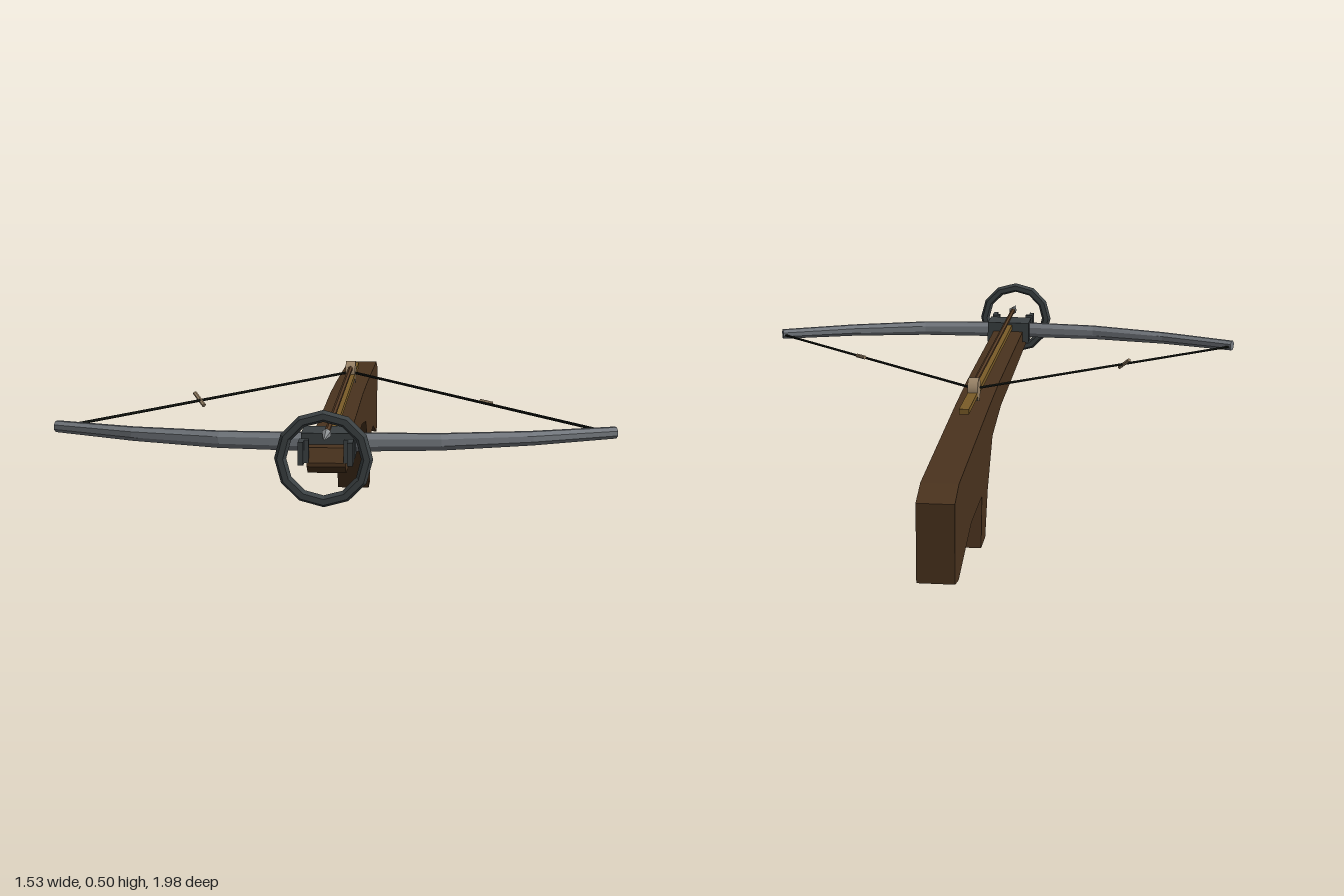
import * as THREE from 'three';

const mat = (name, color) => {
  const m = new THREE.MeshStandardMaterial({ color });
  m.name = name;
  return m;
};

// Faceted normals for low-poly parts
function facet(geo) {
  const g = geo.index ? geo.toNonIndexed() : geo;
  g.computeVertexNormals();
  return g;
}

// Sweeps an elliptical polygon along stations { p, side, up }; side x up points along the path
function sweep(stations, sides) {
  const pos = [], index = [], n = stations.length;
  for (const { p, side, up } of stations) {
    for (let j = 0; j < sides; j++) {
      const a = ((j + 0.5) / sides) * Math.PI * 2;
      const v = p.clone().addScaledVector(side, Math.cos(a)).addScaledVector(up, Math.sin(a));
      pos.push(v.x, v.y, v.z);
    }
  }
  for (let i = 0; i < n - 1; i++) {
    for (let j = 0; j < sides; j++) {
      const k = (j + 1) % sides, a = i * sides, b = a + sides;
      index.push(a + j, b + k, b + j, a + j, a + k, b + k);
    }
  }
  const last = (n - 1) * sides;
  for (let j = 1; j < sides - 1; j++) {
    index.push(0, j + 1, j, last, last + j, last + j + 1);
  }
  const g = new THREE.BufferGeometry();
  g.setAttribute('position', new THREE.Float32BufferAttribute(pos, 3));
  g.setIndex(index);
  return facet(g);
}

export function createModel() {
  const model = new THREE.Group();
  const wood = mat('stock wood', 0x4a331e);
  const boltWood = mat('bolt wood', 0x543a24);
  const steel = mat('prod steel', 0x757a80);
  const paleSteel = mat('bolt head steel', 0x8a8e90);
  const iron = mat('dark iron', 0x3b4143);
  const brass = mat('brass rail', 0x7a5c28);
  const bone = mat('nut bone', 0x9a8468);
  const cord = mat('string cord', 0x151813);

  const add = (name, geo, material, x = 0, y = 0, z = 0) => {
    const m = new THREE.Mesh(geo, material);
    m.name = name;
    m.position.set(x, y, z);
    model.add(m);
    return m;
  };
  const box = (w, h, d) => new THREE.BoxGeometry(w, h, d);
  const V = (x, y, z) => new THREE.Vector3(x, y, z);
  // Rod or cone from a to b
  const rod = (name, a, b, ra, rb, sides, material) => {
    const d = b.clone().sub(a);
    const c = a.clone().add(b).multiplyScalar(0.5);
    const m = add(name, facet(new THREE.CylinderGeometry(rb, ra, d.length(), sides)), material, c.x, c.y, c.z);
    m.quaternion.setFromUnitVectors(V(0, 1, 0), d.normalize());
  };

  // Stock: side profile (z, y) extruded across x
  const profile = [
    [0.88, 0.345], [0.855, 0.38], [0, 0.375], [-0.26, 0.365], [-0.92, 0.33], [-1, 0.3],
    [-1, 0.087], [-0.935, 0.076], [-0.67, 0.147], [-0.44, 0.147], [-0.46, 0], [-0.36, 0],
    [-0.3, 0.125], [-0.18, 0.255], [0.045, 0.29], [0.85, 0.313], [0.88, 0.335],
  ];
  const stockGeo = new THREE.ExtrudeGeometry(
    new THREE.Shape(profile.map(([z, y]) => new THREE.Vector2(z, y))),
    { depth: 0.1, bevelEnabled: false });
  stockGeo.translate(0, 0, -0.05).rotateY(-Math.PI / 2);
  add('stock', stockGeo, wood);

  // Prod: curved steel bow, its height tapering to the tips
  const half = [[0.29, 0.745, 0.024], [0.53, 0.682, 0.02], [0.758, 0.59, 0.0165]];
  const path = [
    ...half.map(([x, z, h]) => [-x, z, h]).reverse(),
    [0, 0.765, 0.027],
    ...half,
  ];
  const stations = path.map(([x, z, h], i) => {
    const a = path[Math.max(i - 1, 0)], b = path[Math.min(i + 1, path.length - 1)];
    const t = V(b[0] - a[0], 0, b[1] - a[1]).normalize();
    return { p: V(x, 0.377, z), side: V(t.z, 0, -t.x).multiplyScalar(0.0165), up: V(0, h, 0) };
  });
  add('prod', sweep(stations, 8), steel);

  // Iron block binding the prod to the stock
  add('prodBlock', box(0.14, 0.066, 0.1), iron, 0, 0.376, 0.762);

  // Brackets on the nose, and the foot stirrup
  for (const s of [-1, 1]) {
    add('bracketFoot', box(0.02, 0.06, 0.018), iron, s * 0.055, 0.375, 0.872);
    add('bracketArm', box(0.014, 0.06, 0.052), iron, s * 0.063, 0.375, 0.889);
  }
  add('stirrup', facet(new THREE.TorusGeometry(0.109, 0.0152, 6, 12)), iron, 0, 0.375, 0.969);

  // Rail, bolt and nut along the top
  add('rail', box(0.028, 0.015, 1.25), brass, 0, 0.395, 0.18);
  rod('boltShaft', V(0, 0.42, -0.2), V(0, 0.42, 0.89), 0.0075, 0.0075, 6, boltWood);
  rod('boltHead', V(0, 0.42, 0.87), V(0, 0.42, 0.968), 0.0135, 0, 6, paleSteel);
  const nut = add('nut', new THREE.CylinderGeometry(0.035, 0.035, 0.03, 16), bone, 0, 0.405, -0.22);
  nut.rotation.z = Math.PI / 2;

  // Drawn string, with a small peg on each side: one along the string, one across it
  for (const s of [-1, 1]) {
    rod('string', V(s * 0.754, 0.374, 0.59), V(0, 0.406, -0.215), 0.004, 0.004, 6, cord);
    const c = V(s * 0.418, 0.391, 0.222), d = V(0.016, s < 0 ? -0.016 : -0.0007, 0.0165);
    rod('stringPeg', c.clone().sub(d), c.clone().add(d), 0.006, 0.006, 6, bone);
  }

  // Trigger lever, bowed slightly downwards
  const lever = [[0.125, -0.425], [0.09, -0.51], [0.055, -0.6], [0.025, -0.69]].map(([y, z], i) => {
    const r = 0.0125 - i * 0.0008;
    return { p: V(0, y, z), side: V(-r, 0, 0), up: V(0, r, -r * 0.35) };
  });
  add('trigger', sweep(lever, 6), iron);

  return model;
}
